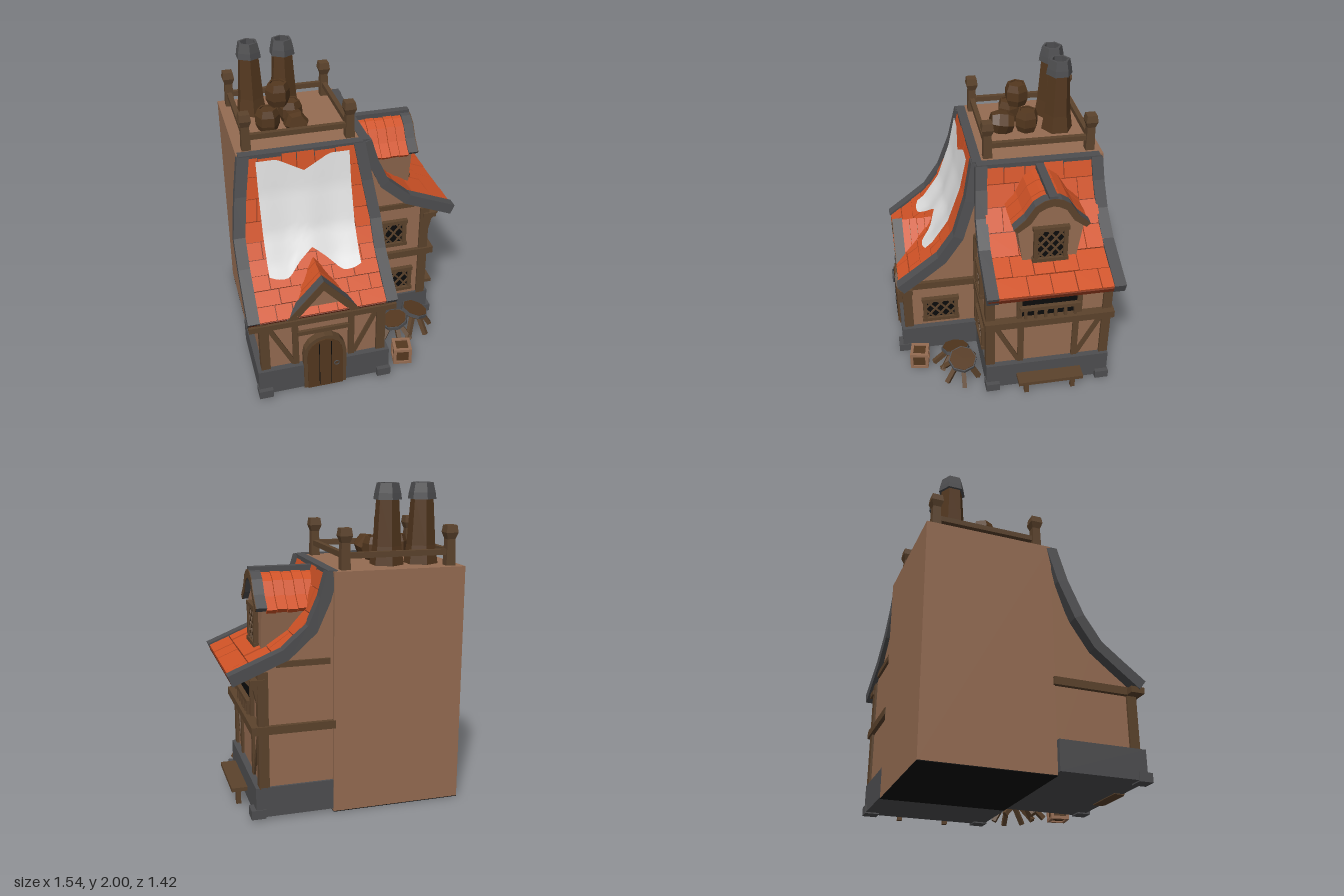
import * as THREE from 'three';

const mat = (name, color, side = THREE.FrontSide) => {
  const m = new THREE.MeshStandardMaterial({ color, side });
  m.name = name;
  return m;
};

export function createModel() {
  const plaster = mat('plaster', 0x956c52), wood = mat('wood', 0x5c432c), darkWood = mat('darkWood', 0x54381f);
  const stone = mat('stone', 0x4e4e50), tile = mat('tile', 0xcf5226), underlay = mat('underlay', 0x7c3018);
  const cloth = mat('cloth', 0xdcdcdc, THREE.DoubleSide), black = mat('black', 0x0b0b0b);
  const model = new THREE.Group();
  model.name = 'house';
  let seed = 7;
  const rand = () => (seed = (seed * 16807) % 2147483647) / 2147483647;

  // ---- helpers ----
  const group = (name, parent, x = 0, y = 0, z = 0, ry = 0) => {
    const g = new THREE.Group();
    g.name = name; g.position.set(x, y, z); g.rotation.y = ry;
    parent.add(g);
    return g;
  };
  const add = (name, geo, material, parent) => {
    const m = new THREE.Mesh(geo, material);
    m.name = name;
    parent.add(m);
    return m;
  };
  const flat = g => { const f = g.index ? g.toNonIndexed() : g; f.computeVertexNormals(); return f; };
  const box = (name, material, parent, x0, x1, y0, y1, z0, z1) => {
    const m = add(name, new THREE.BoxGeometry(x1 - x0, y1 - y0, z1 - z0), material, parent);
    m.position.set((x0 + x1) / 2, (y0 + y1) / 2, (z0 + z1) / 2);
    return m;
  };
  const beam = (name, material, parent, a, b, w, d = w) => {
    const p = new THREE.Vector3(...a), q = new THREE.Vector3(...b);
    const m = add(name, new THREE.BoxGeometry(w, p.distanceTo(q), d), material, parent);
    m.position.copy(p).lerp(q, 0.5);
    m.quaternion.setFromUnitVectors(new THREE.Vector3(0, 1, 0), q.sub(p).normalize());
    return m;
  };
  const lathe = (name, material, parent, pts, sides) =>
    add(name, flat(new THREE.LatheGeometry(pts.map(p => new THREE.Vector2(...p)), sides)), material, parent);
  const extrude = (name, material, parent, pts, z0, z1) => {
    const shape = new THREE.Shape(pts.map(p => new THREE.Vector2(...p)));
    const m = add(name, new THREE.ExtrudeGeometry(shape, { depth: z1 - z0, bevelEnabled: false }), material, parent);
    m.position.z = z0;
    return m;
  };
  // Slab swept down a roof profile of [out, y, halfWidth] rows
  const sweep = (name, material, parent, rows, left, right, lo, hi) => {
    const pos = [];
    const quad = (a, b, c, d) => [a, b, c, a, c, d].forEach(p => pos.push(...p));
    const rings = rows.map((r, i) => {
      const p = rows[Math.max(i - 1, 0)], q = rows[Math.min(i + 1, rows.length - 1)];
      const dz = q[0] - p[0], dy = q[1] - p[1], l = Math.hypot(dz, dy);
      const at = (x, h) => [x, r[1] + dz / l * h, r[0] - dy / l * h];
      return [at(left(r[2]), hi), at(right(r[2]), hi), at(right(r[2]), lo), at(left(r[2]), lo)];
    });
    for (let i = 0; i < rings.length - 1; i++)
      for (let k = 0; k < 4; k++) quad(rings[i][k], rings[i + 1][k], rings[i + 1][(k + 1) % 4], rings[i][(k + 1) % 4]);
    const e = rings[rings.length - 1];
    quad(...rings[0]);
    quad(e[3], e[2], e[1], e[0]);
    const g = new THREE.BufferGeometry();
    g.setAttribute('position', new THREE.Float32BufferAttribute(pos, 3));
    g.computeVertexNormals();
    return add(name, g, material, parent);
  };
  const sample = (rows, t) => {
    const f = Math.min(t, 0.9999) * (rows.length - 1), i = Math.floor(f);
    return rows[i].map((v, k) => v + (rows[i + 1][k] - v) * (f - i));
  };
  // Swooping tiled roof with stone verges and ridge
  const roof = (parent, rows, nRows, nCols) => {
    const g = group('roof', parent);
    sweep('roofSlab', underlay, g, rows, w => -w + 0.01, w => w - 0.01, -0.035, 0);
    for (let i = 0; i < nRows; i++) {
      const pair = [sample(rows, i / nRows), sample(rows, (i + 0.95) / nRows)];
      const cuts = [-1];
      for (let j = 1; j < nCols; j++) cuts.push(-1 + 2 * (j + (i % 2 ? 0.25 : -0.25) + (rand() - 0.5) * 0.3) / nCols);
      cuts.push(1);
      for (let j = 0; j < nCols; j++) {
        const h = 0.008 + rand() * 0.008;
        sweep('roofTile', tile, g, pair, w => cuts[j] * (w - 0.06) + 0.003, w => cuts[j + 1] * (w - 0.06) - 0.003, -0.005, h);
      }
    }
    sweep('leftVerge', stone, g, rows, w => -w, w => -w + 0.075, -0.045, 0.025);
    sweep('rightVerge', stone, g, rows, w => w - 0.075, w => w, -0.045, 0.025);
    const [o, y, w] = rows[0];
    box('ridge', stone, g, -w + 0.01, w - 0.01, y - 0.05, y + 0.01, o - 0.045, o + 0.015);
  };
  // Small roof over a dormer or porch: half outlines run from eave to peak
  const mirrorPts = h => [...h, ...h.slice(0, -1).reverse().map(([x, y]) => [-x, y])];
  const gable = (name, parent, outer, inner, base, z0, z1) => {
    const g = group(name, parent);
    const o = mirrorPts(outer), n = mirrorPts(inner);
    const ring = [...o, ...n.slice().reverse()];
    const w = inner[0][0] * 0.8;
    extrude('gableWall', plaster, g, [[w, base], [-w, base], ...n.slice().reverse().map(([x, y]) => [x * 0.98, y + 0.01])].reverse(), z0, z1 - 0.035);
    const count = 5, step = (z1 - 0.06 - z0) / count;
    for (let i = 0; i < count; i++)
      extrude('gableTiles', tile, g, ring.map(([x, y]) => [x, y - 0.014 + (i % 2) * 0.004]), z0 + i * step, z0 + (i + 1) * step - 0.004);
    extrude('gableVerge', stone, g, ring, z1 - 0.065, z1);
    extrude('gableFacing', wood, g, ring, z1, z1 + 0.005);
    return g;
  };
  // Lattice window facing +z
  const windowAt = (parent, w, h, x, y, z, ry = 0) => {
    const g = group('window', parent, x, y, z, ry);
    box('pane', black, g, -w / 2, w / 2, -h / 2, h / 2, -0.01, 0.006);
    const n = Math.round(w / 0.075), m = Math.round(h / 0.075), dx = w / n, dy = h / m;
    for (let i = 0; i < n; i++) for (let j = 0; j < m; j++) {
      const a = -w / 2 + i * dx, b = -h / 2 + j * dy;
      beam('lattice', wood, g, [a, b, 0.01], [a + dx, b + dy, 0.01], 0.011);
      beam('lattice', wood, g, [a + dx, b, 0.01], [a, b + dy, 0.01], 0.011);
    }
    for (const s of [-1, 1]) {
      box('frameSide', wood, g, s * w / 2 - 0.013, s * w / 2 + 0.013, -h / 2, h / 2, -0.01, 0.025);
      box('frameRail', wood, g, -w / 2 - 0.02, w / 2 + 0.02, s * h / 2 - 0.013, s * h / 2 + 0.013, -0.01, 0.028);
    }
  };
  // Wing facing local +z: wall under the roof line, stone footing, timbers
  const wing = (name, rows, hw, out, eave, baseHw, x, z, ry) => {
    const g = group(name, model, x, 0, z, ry);
    const line = rows.filter(r => r[0] < out - 0.02).map(r => [r[0] - 0.012, r[1] - 0.02]);
    const wall = extrude('wingWall', plaster, g, [[0.1, 0.03], [out, 0.03], [out, eave], ...line.reverse(), [0.1, 1.48]].map(([a, b]) => [-a, b]), -hw, hw);
    wall.rotation.y = Math.PI / 2;
    wall.position.set(-hw, 0, 0);
    box('footing', stone, g, -baseHw, baseHw, 0.02, 0.21, 0.13, out + 0.04);
    for (const s of [-1, 1]) {
      box('cornerStone', stone, g, s * (baseHw - 0.04) - 0.046, s * (baseHw - 0.04) + 0.046, 0.012, 0.07, out - 0.02, out + 0.07);
      box('cornerPost', wood, g, s * (hw - 0.015) - 0.03, s * (hw - 0.015) + 0.03, 0.2, eave, out - 0.045, out + 0.018);
      box('sideBeam', wood, g, s * hw - 0.028, s * hw + 0.028, 0.55, 0.6, 0.12, out + 0.03);
      box('innerPost', wood, g, s * 0.185 - 0.02, s * 0.185 + 0.02, 0.2, 0.56, out - 0.01, out + 0.015);
      beam('brace', wood, g, [s * (hw - 0.05), 0.53, out], [s * 0.2, 0.22, out], 0.032, 0.024);
    }
    return g;
  };

  // ---- core block and roof deck ----
  box('core', plaster, model, -0.7, 0.13, 0.004, 1.505, -0.685, 0.13);
  box('coreUnderside', black, model, -0.7, 0.13, 0, 0.004, -0.685, 0.13);
  const deck = group('roofDeck', model);
  for (const x of [-0.625, 0.045]) for (const z of [-0.61, 0.06]) {
    const post = lathe('railPost', wood, deck, [[0, 0], [0.042, 0], [0.036, 0.16], [0.055, 0.2], [0.046, 0.245], [0, 0.245]], 4);
    post.position.set(x, 1.505, z);
    post.rotation.y = Math.PI / 4;
  }
  for (const x of [-0.625, 0.045]) box('rail', wood, deck, x - 0.016, x + 0.016, 1.57, 1.605, -0.61, 0.06);
  for (const z of [-0.61, 0.06]) box('rail', wood, deck, -0.625, 0.045, 1.57, 1.605, z - 0.016, z + 0.016);
  for (const x of [-0.495, -0.27]) {
    const c = group('chimney', deck, x, 1.5, -0.47);
    lathe('chimneyStack', darkWood, c, [[0.108, 0], [0.09, 0.12], [0.07, 0.41]], 6);
    lathe('chimneyCap', stone, c, [[0.06, 0.4], [0.088, 0.4], [0.082, 0.44], [0.068, 0.5], [0.052, 0.5], [0.052, 0.44]], 6);
    lathe('flue', black, c, [[0.06, 0.45], [0, 0.45]], 6);
  }
  const barrel = (x, y, z, rx = 0, ry = 0) => {
    const g = group('barrel', deck, x, y, z, ry);
    g.rotation.x = rx;
    lathe('barrelBody', darkWood, g, [[0, -0.075], [0.062, -0.075], [0.08, -0.03], [0.08, 0.03], [0.062, 0.075], [0.05, 0.075], [0.05, 0.066], [0, 0.066]], 6);
  };
  barrel(-0.44, 1.58, -0.17, 0, 0.4);
  barrel(-0.27, 1.58, -0.26, 0, 0.2);
  barrel(-0.36, 1.735, -0.205, 0, 0.5);
  barrel(-0.27, 1.575, -0.09, 1.4, 0.65);

  // ---- front wing ----
  const frontRows = [[0.15, 1.5, 0.41], [0.2, 1.25, 0.45], [0.285, 1.0, 0.485], [0.4, 0.83, 0.485], [0.54, 0.72, 0.485], [0.685, 0.61, 0.485]];
  const front = wing('frontWing', frontRows, 0.4, 0.65, 0.58, 0.44, -0.29, 0, 0);
  roof(front, frontRows, 9, 6);
  box('eaveBeam', wood, front, -0.48, 0.48, 0.55, 0.59, 0.6, 0.69);
  gable('porchGable', front, [[0.24, 0.6], [0, 0.865]], [[0.175, 0.6], [0, 0.795]], 0.59, 0.36, 0.685);
  box('doorLintel', wood, front, -0.17, 0.17, 0.445, 0.475, 0.64, 0.67);
  const arch = (w, y) => {
    const p = [[w, 0.015]];
    for (let i = 0; i <= 8; i++) p.push([w * Math.cos(i * Math.PI / 8), y + 0.145 * w / 0.14 * Math.sin(i * Math.PI / 8)]);
    return [...p, [-w, 0.015]];
  };
  extrude('doorFrame', wood, front, arch(0.142, 0.29), 0.63, 0.7);
  extrude('door', darkWood, front, arch(0.118, 0.29), 0.7, 0.708);
  for (const x of [-0.04, 0.04]) box('doorGroove', black, front, x - 0.002, x + 0.002, 0.03, 0.39, 0.706, 0.71);
  const ring = add('doorRing', new THREE.TorusGeometry(0.016, 0.004, 6, 12), stone, front);
  ring.position.set(0.075, 0.2, 0.712);
  windowAt(model, 0.22, 0.17, 0.115, 0.355, 0.41, Math.PI / 2);

  // draped cloth
  const sheet = new THREE.PlaneGeometry(0.6, 1, 20, 16), sp = sheet.attributes.position;
  for (let i = 0; i < sp.count; i++) {
    const x = sp.getX(i), v = 0.5 - sp.getY(i), mid = Math.max(0, 1 - Math.abs(x) / 0.17);
    const y = THREE.MathUtils.lerp(1.465 - 0.09 * mid, 0.8 - 0.025 * Math.cos((Math.abs(x) - 0.2) * 14) + 0.085 * mid, v);
    const k = Math.max(0, frontRows.findIndex(r => r[1] <= y) - 1), a = frontRows[k], b = frontRows[k + 1];
    const out = a[0] + (b[0] - a[0]) * (a[1] - y) / (a[1] - b[1]);
    sp.setXYZ(i, x, y + 0.01, out + 0.035 + 0.008 * Math.cos(x * 21) * v);
  }
  sheet.computeVertexNormals();
  add('drapedCloth', sheet, cloth, front);

  // ---- right-hand wing, turned to face +x ----
  const sideRows = [[0.145, 1.5, 0.412], [0.19, 1.35, 0.42], [0.27, 1.18, 0.432], [0.43, 1.04, 0.438], [0.6, 0.97, 0.438], [0.76, 0.905, 0.438]];
  const side = wing('sideWing', sideRows, 0.405, 0.575, 0.93, 0.42, 0, -0.258, Math.PI / 2);
  roof(side, sideRows, 6, 5);
  box('middleBeam', wood, side, -0.43, 0.43, 0.55, 0.6, 0.56, 0.635);
  box('eaveBeam', wood, side, -0.43, 0.43, 0.855, 0.89, 0.55, 0.64);
  box('balconyOpening', black, side, -0.19, 0.19, 0.6, 0.855, 0.56, 0.581);
  for (const s of [-1, 1]) {
    box('balconyPost', wood, side, s * 0.2 - 0.016, s * 0.2 + 0.016, 0.6, 0.86, 0.56, 0.6);
    beam('eaveBracket', wood, side, [s * 0.39, 0.74, 0.58], [s * 0.39, 0.83, 0.6], 0.035);
    beam('eaveBracket', wood, side, [s * 0.39, 0.82, 0.59], [s * 0.39, 0.91, 0.67], 0.035);
    box('sideTie', wood, side, s * 0.41 - 0.012, s * 0.41 + 0.012, 0.955, 0.99, 0.15, 0.48);
  }
  box('balconyRail', wood, side, -0.2, 0.2, 0.67, 0.695, 0.59, 0.62);
  for (let i = 0; i < 6; i++) box('baluster', wood, side, -0.17 + i * 0.066, -0.15 + i * 0.066, 0.6, 0.68, 0.595, 0.615);
  gable('dormer', side, [[0.24, 1.275], [0.165, 1.345], [0.11, 1.43], [0.055, 1.465], [0, 1.478]],
    [[0.215, 1.25], [0.135, 1.31], [0.085, 1.39], [0.04, 1.415], [0, 1.425]], 1.0, 0.17, 0.555);
  box('dormerRidge', stone, side, -0.026, 0.026, 1.45, 1.492, 0.16, 0.557);
  windowAt(side, 0.19, 0.23, 0, 1.135, 0.525);

  // windows on the wing's front face
  windowAt(model, 0.22, 0.17, 0.36, 0.355, 0.15);
  windowAt(model, 0.15, 0.18, 0.34, 0.76, 0.15);
  box('nookPost', wood, model, 0.105, 0.145, 0.2, 0.95, 0.13, 0.17);

  // ---- yard furniture ----
  const bench = group('bench', model);
  box('benchSeat', wood, bench, 0.63, 0.73, 0.115, 0.14, -0.48, -0.04);
  for (const z of [-0.42, -0.1]) box('benchLeg', wood, bench, 0.665, 0.695, 0.012, 0.12, z - 0.015, z + 0.015);
  const stool = (x, y, z, tilt, legs) => {
    const g = group('stool', model);
    const top = group('stoolTop', g, x, y, z);
    top.rotation.z = tilt;
    lathe('stoolSeat', darkWood, top, [[0, -0.025], [0.085, -0.025], [0.09, 0.014], [0, 0.014]], 8);
    lathe('stoolRim', stone, top, [[0.09, -0.014], [0.098, -0.014], [0.098, 0.01], [0.088, 0.01]], 8);
    for (const [lx, lz] of legs) beam('stoolLeg', wood, g, [x + (lx - x) * 0.3, y - 0.015, z + (lz - z) * 0.3], [lx, 0.02, lz], 0.03);
  };
  stool(0.31, 0.135, 0.335, 0.25, [[0.31, 0.49], [0.4, 0.44], [0.29, 0.2], [0.22, 0.38]]);
  stool(0.47, 0.17, 0.305, -0.3, [[0.59, 0.31], [0.38, 0.44], [0.5, 0.2], [0.52, 0.42]]);
  const crate = group('crate', model, 0.28, 0.068, 0.585, -0.18);
  box('crateBody', darkWood, crate, -0.052, 0.052, -0.052, 0.052, -0.052, 0.052);
  for (const a of [-0.052, 0.052]) for (const b of [-0.052, 0.052]) {
    beam('crateEdge', plaster, crate, [a, b, -0.06], [a, b, 0.06], 0.02);
    beam('crateEdge', plaster, crate, [a, -0.06, b], [a, 0.06, b], 0.02);
    beam('crateEdge', plaster, crate, [-0.06, a, b], [0.06, a, b], 0.02);
  }
  return model;
}
